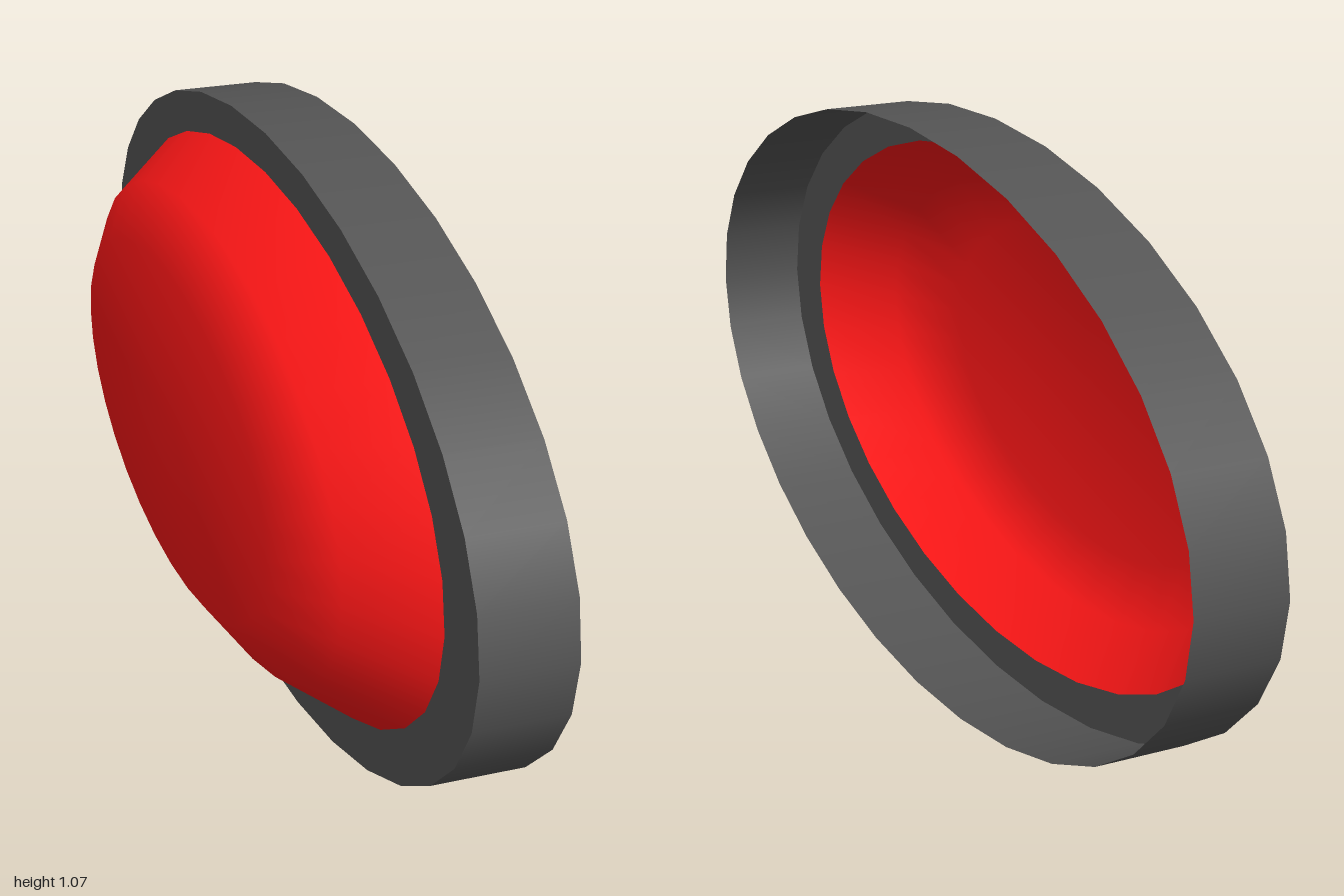
import * as THREE from 'three';

const SEGMENTS = 32;
const HALF_HEIGHT = 0.535; // the oval is a unit circle squashed in y

// Revolves [radius, x] pairs around the x axis, then squashes the result to an oval
function ovalShell(name, profile, material) {
  const points = profile.map(([r, x]) => new THREE.Vector2(r, x));
  const geometry = new THREE.LatheGeometry(points, SEGMENTS);
  geometry.rotateZ(-Math.PI / 2);
  geometry.scale(1, HALF_HEIGHT, 1);
  geometry.translate(0, HALF_HEIGHT, 0);
  const mesh = new THREE.Mesh(geometry, material);
  mesh.name = name;
  return mesh;
}

export function createModel() {
  const red = new THREE.MeshStandardMaterial({ color: 0xff1717, side: THREE.DoubleSide });
  const grey = new THREE.MeshStandardMaterial({ color: 0x555555, side: THREE.DoubleSide });
  const group = new THREE.Group();
  group.name = 'ovalDish';

  // Shallow bowl with a flat bottom, bulging towards -x
  group.add(ovalShell('bowl', [[0, -0.177], [0.555, -0.177], [0.725, -0.107], [0.865, 0.01]], red));

  // Flat flange around the bowl and the open wall rising from its outer edge
  const rim = new THREE.Group();
  rim.name = 'rim';
  rim.add(ovalShell('flange', [[0.865, 0.01], [1, 0.01]], grey));
  rim.add(ovalShell('outerWall', [[1, 0.01], [1, 0.177]], grey));
  group.add(rim);

  return group;
}
